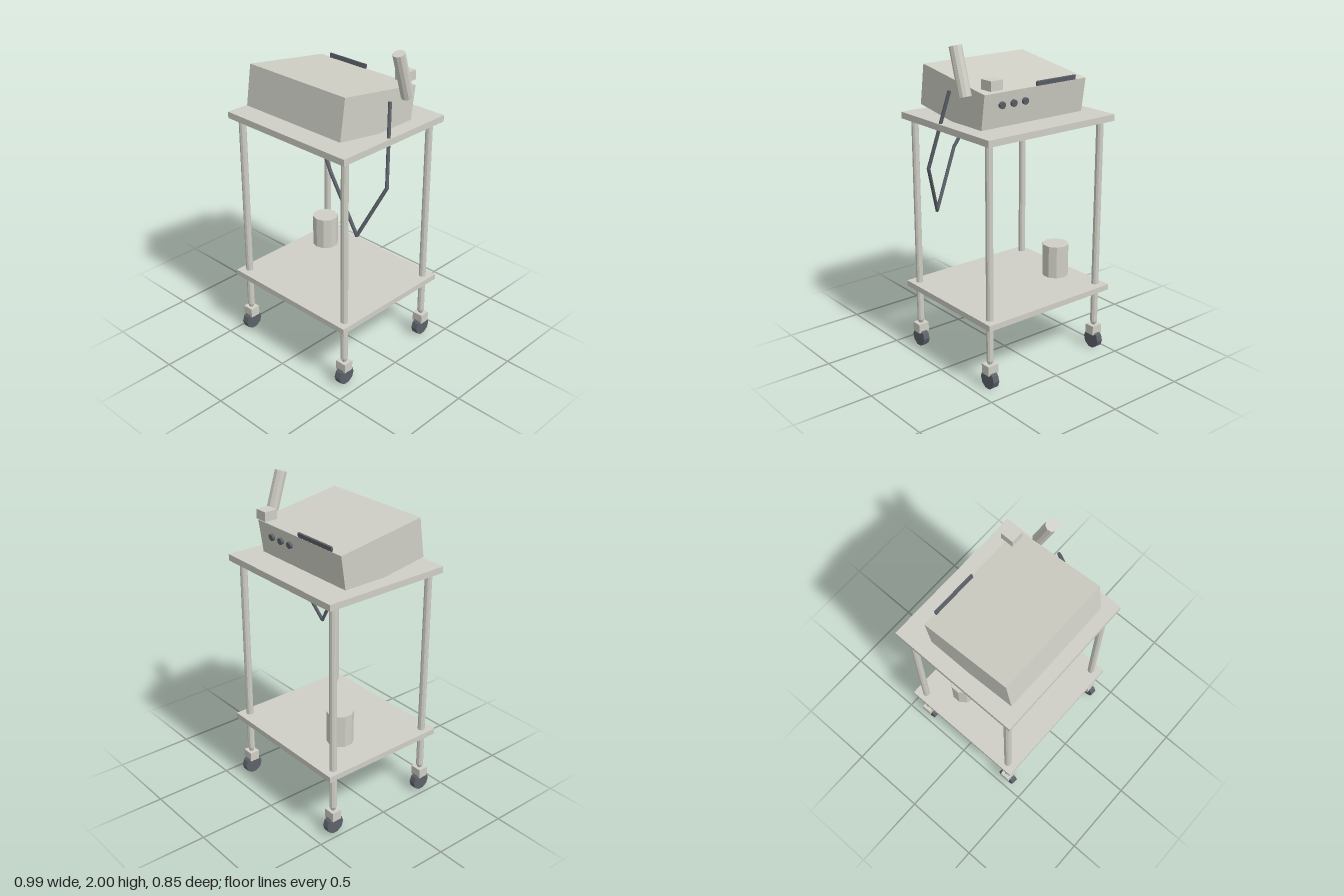
import * as THREE from 'three';

const material = (name, color) => {
  const m = new THREE.MeshStandardMaterial({ color, flatShading: true });
  m.name = name;
  return m;
};

export function createModel() {
  const model = new THREE.Group();
  model.name = 'equipmentTrolley';
  const body = material('warmGrey', 0xcfcfc6);
  const dark = material('darkSlate', 0x5c6269);

  const add = (name, geometry, mat, x, y, z) => {
    const mesh = new THREE.Mesh(geometry, mat);
    mesh.name = name;
    mesh.position.set(x, y, z);
    model.add(mesh);
    return mesh;
  };
  const box = (name, mat, w, h, d, x, y, z) =>
    add(name, new THREE.BoxGeometry(w, h, d), mat, x, y, z);
  const cyl = (name, mat, rTop, rBottom, h, x, y, z, start = 0) =>
    add(name, new THREE.CylinderGeometry(rTop, rBottom, h, 10, 1, false, start), mat, x, y, z);

  // Shelves
  box('topShelf', body, 0.947, 0.04, 0.845, -0.0215, 1.515, -0.002);
  box('lowerShelf', body, 0.947, 0.036, 0.845, -0.0215, 0.422, -0.002);

  // Posts with casters at the four corners
  for (const x of [-0.442, 0.399]) {
    for (const z of [-0.358, 0.358]) {
      cyl('post', body, 0.0225, 0.0225, 1.33, x, 0.845, z);
      cyl('postFoot', body, 0.0225, 0.012, 0.025, x, 0.1675, z);
      box('casterBlock', body, 0.073, 0.061, 0.065, x, 0.1265, z);
      cyl('casterWheel', dark, 0.061, 0.061, 0.042, x, 0.058, z).rotation.z = Math.PI / 2;
    }
  }

  // Tilted console
  const tilt = -0.15;
  box('console', body, 0.757, 0.251, 0.589, -0.0215, 1.662, 0.0415).rotation.x = tilt;
  box('rearPanel', dark, 0.295, 0.04, 0.012, -0.17, 1.75, -0.263).rotation.x = tilt;
  for (const x of [0.062, 0.146, 0.23]) {
    cyl('knob', dark, 0.021, 0.021, 0.022, x, 1.668, -0.263).rotation.x = Math.PI / 2 + tilt;
  }
  box('connectorBlock', body, 0.085, 0.058, 0.085, 0.292, 1.791, -0.253);

  // Hand probe leaning beside the console
  cyl('probe', body, 0.0375, 0.0375, 0.287, 0.399, 1.853, -0.106, Math.PI / 2).rotation.x = 0.3;

  // Canister over the lower shelf
  cyl('canister', body, 0.082, 0.082, 0.206, -0.276, 0.59, -0.167);

  // Hanging cord in straight runs
  const cord = [
    [0.4, 1.725, 0.0], [0.483, 1.26, 0.104], [0.355, 0.947, 0.21],
    [0.19, 1.31, 0.253], [0.03, 1.565, 0.222],
  ].map((p) => new THREE.Vector3(...p));
  const up = new THREE.Vector3(0, 1, 0);
  for (let i = 0; i < cord.length - 1; i++) {
    const run = cord[i + 1].clone().sub(cord[i]);
    const mid = cord[i].clone().addScaledVector(run, 0.5);
    cyl('cord', dark, 0.011, 0.011, run.length() + 0.006, mid.x, mid.y, mid.z)
      .quaternion.setFromUnitVectors(up, run.normalize());
  }

  return model;
}
